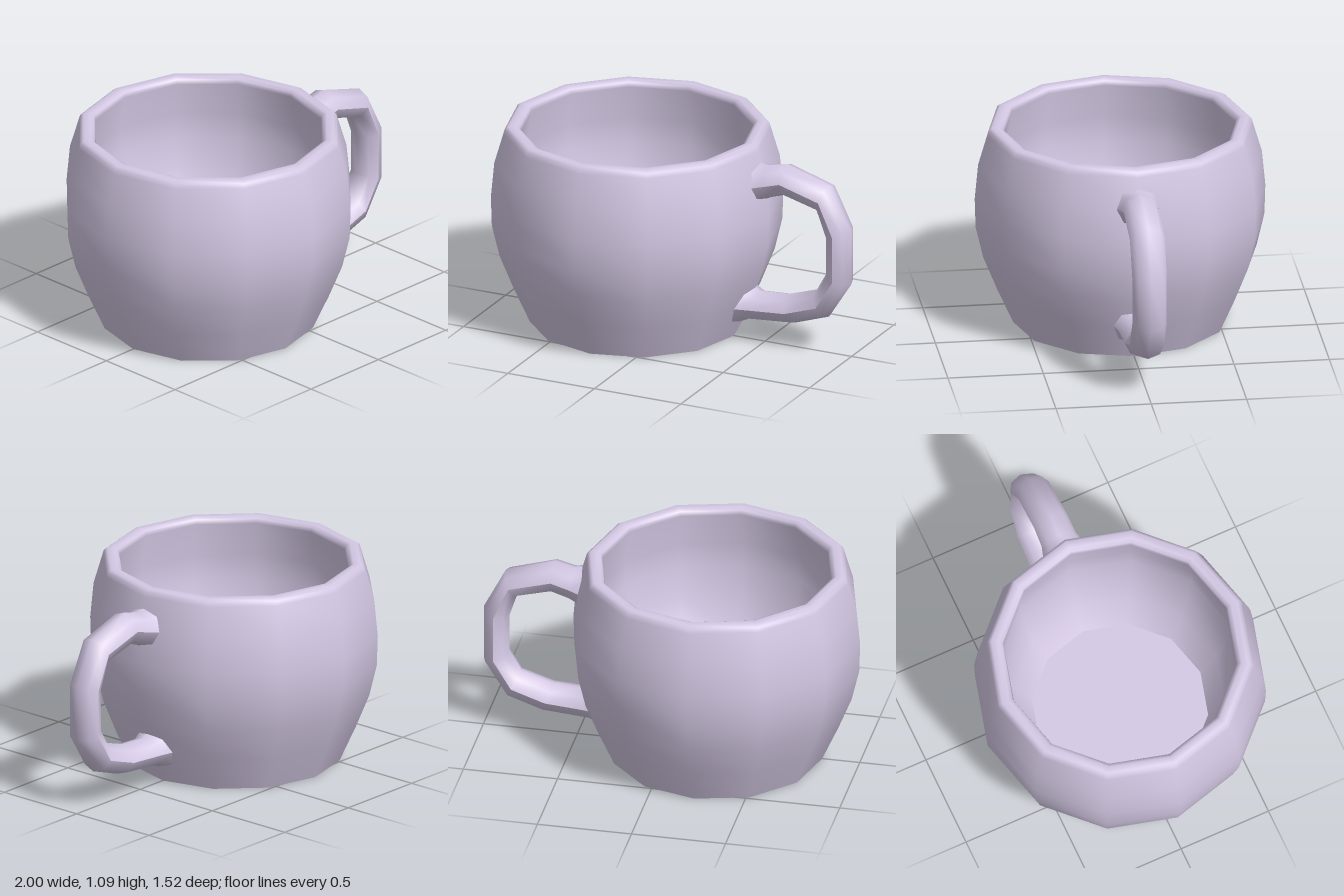
import * as THREE from 'three';

const SIDES = 12;
const AXIS_X = -0.24;
const FLOOR_Y = 0.26;

// Handle cross-sections: outer edge (x, y), inner edge (x, y), half width in z
const HANDLE_RINGS = [
  [0.43, 1.0, 0.43, 0.755, 0.125],
  [0.515, 0.983, 0.535, 0.81, 0.097],
  [0.62, 1.01, 0.63, 0.84, 0.094],
  [0.88, 0.93, 0.82, 0.79, 0.092],
  [0.998, 0.70, 0.862, 0.66, 0.09],
  [0.998, 0.40, 0.862, 0.45, 0.09],
  [0.87, 0.20, 0.80, 0.34, 0.092],
  [0.68, 0.135, 0.63, 0.285, 0.094],
  [0.42, 0.115, 0.47, 0.275, 0.097],
  [0.33, 0.075, 0.40, 0.32, 0.12],
];

// Strip of the handle's skin, through the given angles (degrees) around each ring
function handleStrip(rings, angles) {
  const positions = [];
  const index = [];
  const n = angles.length;
  rings.forEach(([ox, oy, ix, iy, w], i) => {
    angles.forEach((degrees, j) => {
      const a = THREE.MathUtils.degToRad(degrees);
      const c = Math.cos(a) / 2;
      positions.push((ox + ix) / 2 + (ox - ix) * c, (oy + iy) / 2 + (oy - iy) * c, w * Math.sin(a));
      if (i === rings.length - 1 || j === n - 1) return;
      const p = i * n + j;
      const q = p + n;
      index.push(p, p + 1, q, p + 1, q + 1, q);
    });
  });
  const geometry = new THREE.BufferGeometry();
  geometry.setAttribute('position', new THREE.Float32BufferAttribute(positions, 3));
  geometry.setIndex(index);
  geometry.computeVertexNormals();
  return geometry;
}

export function createModel() {
  const model = new THREE.Group();
  model.name = 'mug';
  const lilac = new THREE.MeshStandardMaterial({ color: 0xd4c8e4 });
  lilac.name = 'lilac glaze';

  const add = (name, geometry, x = 0, y = 0) => {
    const mesh = new THREE.Mesh(geometry, lilac);
    mesh.name = name;
    mesh.position.set(x, y, 0);
    model.add(mesh);
  };

  // Outer wall, rounded rim and inner wall in one turned profile
  const profile = [
    [0.56, 0], [0.645, 0.19], [0.717, 0.37], [0.757, 0.54], [0.762, 0.7], [0.744, 0.89],
    [0.697, 1.05], [0.69, 1.075], [0.672, 1.088],
    [0.635, 1.088], [0.615, 1.078], [0.608, 1.055],
    [0.64, 0.87], [0.635, 0.74], [0.61, 0.57], [0.55, 0.39], [0.46, FLOOR_Y],
  ].map(([r, y]) => new THREE.Vector2(r, y));
  add('cupWall', new THREE.LatheGeometry(profile, SIDES), AXIS_X);

  // Flat floor inside and flat underside
  add('cupFloor', new THREE.CircleGeometry(0.46, SIDES).rotateX(-Math.PI / 2), AXIS_X, FLOOR_Y);
  add('underside', new THREE.CircleGeometry(0.56, SIDES).rotateX(Math.PI / 2), AXIS_X);

  // Handle: rounded outside, creased along its sides to the inside
  add('handleOutside', handleStrip(HANDLE_RINGS, [-90, -45, 0, 45, 90]));
  add('handleInside', handleStrip(HANDLE_RINGS, [90, 135, 180, 225, 270]));
  return model;
}
